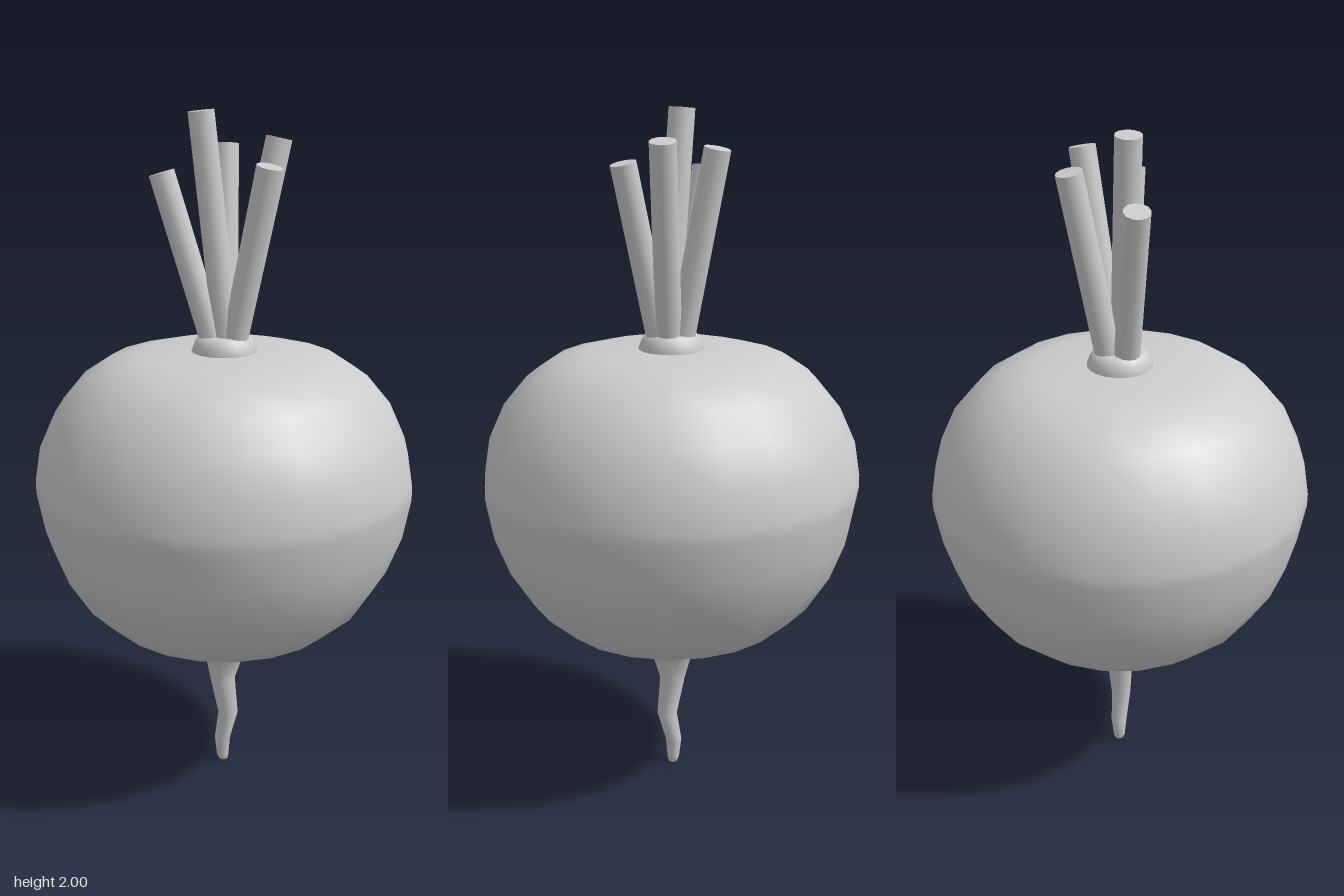
import * as THREE from 'three';
import { mergeVertices } from 'three/addons/utils/BufferGeometryUtils.js';

const material = new THREE.MeshStandardMaterial({ color: 0xcccccc });

function addMesh(group, name, geometry) {
  const mesh = new THREE.Mesh(geometry, material);
  mesh.name = name;
  group.add(mesh);
}

const lathe = (profile, sides) =>
  new THREE.LatheGeometry(profile.map(([r, y]) => new THREE.Vector2(r, y)), sides);

// Weld the seam and poles so the normals are smooth all round
function smooth(geometry) {
  geometry.deleteAttribute('uv');
  geometry.deleteAttribute('normal');
  const welded = mergeVertices(geometry, 1e-4);
  welded.computeVertexNormals();
  return welded;
}

// Bulb running down into a crooked taproot: rings of [radius, y, shift x, shift z]
function bulbGeometry() {
  const rings = [
    [0, 0, -0.004, -0.003], [0.013, 0.006, -0.004, -0.003], [0.018, 0.02, -0.006, -0.003],
    [0.024, 0.08, -0.007, -0.004], [0.03, 0.175, 0.013, 0.006], [0.038, 0.29, -0.006, 0],
    [0.06, 0.37, 0, -0.003], [0.092, 0.414, 0, 0],
    [0.33, 0.497, 0, 0], [0.42, 0.575, 0, 0], [0.487, 0.68, 0, 0], [0.53, 0.79, 0, 0],
    [0.553, 0.91, 0, 0], [0.553, 0.95, 0, 0], [0.537, 1.05, 0, 0], [0.49, 1.155, 0, 0],
    [0.42, 1.24, 0, 0], [0.34, 1.294, 0, 0], [0.245, 1.319, 0, 0], [0.08, 1.325, 0, 0],
    [0, 1.325, 0, 0],
  ];
  const geometry = lathe(rings, 20);
  const pos = geometry.attributes.position;
  for (let i = 0; i < pos.count; i++) {
    const [, , dx, dz] = rings[i % rings.length];
    pos.setX(i, pos.getX(i) + dx);
    pos.setZ(i, pos.getZ(i) + dz);
  }
  return smooth(geometry);
}

// Straight stalk between two points
function stalkGeometry(base, tip, radius) {
  const a = new THREE.Vector3(...base);
  const b = new THREE.Vector3(...tip);
  const axis = b.clone().sub(a);
  const geometry = new THREE.CylinderGeometry(radius, radius, axis.length(), 12);
  const turn = new THREE.Quaternion().setFromUnitVectors(new THREE.Vector3(0, 1, 0), axis.normalize());
  geometry.applyQuaternion(turn);
  const mid = a.add(b).multiplyScalar(0.5);
  return geometry.translate(mid.x, mid.y, mid.z);
}

export function createModel() {
  const model = new THREE.Group();
  model.name = 'rootVegetable';

  addMesh(model, 'bulbAndTaproot', bulbGeometry());

  // Rounded collar the stalks grow from
  addMesh(model, 'crown', smooth(lathe(
    [[0.09, 1.31], [0.095, 1.326], [0.086, 1.35], [0.077, 1.365], [0.062, 1.371], [0, 1.371]], 20)));

  // Cut leaf stalks fanning out of the crown
  const stalks = [
    [[0.01, 1.34, 0.012], [-0.063, 1.997, 0.012]],
    [[-0.025, 1.34, 0.015], [-0.176, 1.827, 0.015]],
    [[-0.005, 1.34, -0.03], [-0.026, 1.895, -0.141]],
    [[0.025, 1.34, -0.012], [0.139, 1.92, -0.081]],
    [[0.03, 1.34, 0.015], [0.139, 1.855, 0.058]],
  ];
  const leaves = new THREE.Group();
  leaves.name = 'leafStalks';
  stalks.forEach(([base, tip], i) => addMesh(leaves, `stalk${i + 1}`, stalkGeometry(base, tip, 0.038)));
  model.add(leaves);

  return model;
}
